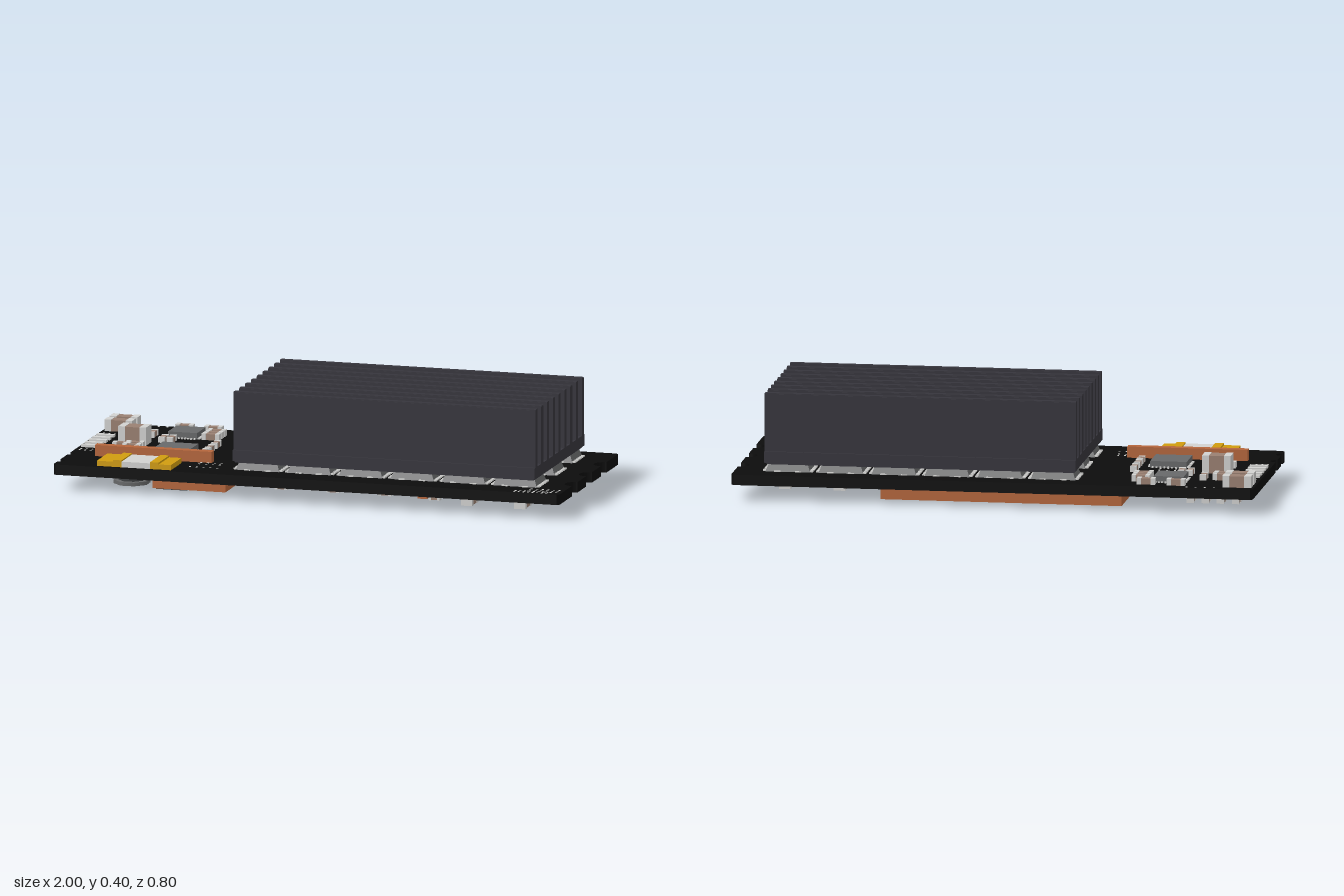
import * as THREE from 'three';
import { mergeGeometries } from 'three/addons/utils/BufferGeometryUtils.js';

const TOP = 0.102, BOTTOM = 0.062;

function makeMaterial(name, color, extra = {}) {
  const m = new THREE.MeshStandardMaterial({ color, ...extra });
  m.name = name;
  return m;
}

// Box given by its limits
function box(x0, x1, y0, y1, z0, z1) {
  return new THREE.BoxGeometry(x1 - x0, y1 - y0, z1 - z0)
    .translate((x0 + x1) / 2, (y0 + y1) / 2, (z0 + z1) / 2);
}

// Box whose top is narrower than its foot
function taperedBox(x, z, w, d, y0, y1, inset) {
  const g = new THREE.BoxGeometry(w, y1 - y0, d);
  const p = g.attributes.position;
  for (let i = 0; i < p.count; i++) {
    if (p.getY(i) < 0) continue;
    p.setX(i, p.getX(i) - Math.sign(p.getX(i)) * inset);
    p.setZ(i, p.getZ(i) - Math.sign(p.getZ(i)) * inset);
  }
  g.translate(x, (y0 + y1) / 2, z);
  g.computeVertexNormals();
  return g;
}

export function createModel() {
  const model = new THREE.Group();
  model.name = 'circuitBoardWithHeatSink';
  const mat = {
    board: makeMaterial('board black', 0x0c0c0c),
    sink: makeMaterial('heat sink grey', 0x36353c),
    chip: makeMaterial('chip grey', 0x68696a),
    dark: makeMaterial('dark package', 0x3e4042),
    silver: makeMaterial('solder silver', 0xd2d2d0),
    tan: makeMaterial('ceramic tan', 0x9a8072),
    copper: makeMaterial('copper', 0xb5663c),
    gold: makeMaterial('terminal gold', 0xd09c10),
  };
  const add = (name, geos, m, parent = model) => {
    const mesh = new THREE.Mesh(Array.isArray(geos) ? mergeGeometries(geos) : geos, m);
    mesh.name = name;
    parent.add(mesh);
    return mesh;
  };

  // Board outline with half-round edge notches; shape y becomes -z
  const s = new THREE.Shape();
  s.moveTo(-0.99, -0.4);
  s.lineTo(0.99, -0.4);
  s.lineTo(1, -0.39);
  for (const z of [0.19, 0, -0.195]) {
    s.lineTo(1, -z - 0.038);
    s.absarc(1, -z, 0.038, -Math.PI / 2, Math.PI / 2, true);
  }
  s.lineTo(1, 0.39);
  s.lineTo(0.99, 0.4);
  s.lineTo(-0.99, 0.4);
  s.lineTo(-1, 0.39);
  for (const z of [0.19, 0.325]) {
    s.lineTo(-1, -z + 0.022);
    s.absarc(-1, -z, 0.022, Math.PI / 2, -Math.PI / 2, true);
  }
  s.lineTo(-1, -0.39);
  const slab = new THREE.ExtrudeGeometry(s, { depth: TOP - BOTTOM, bevelEnabled: false, curveSegments: 10 });
  add('board', slab.rotateX(-Math.PI / 2).translate(0, BOTTOM, 0), mat.board);

  // Heat sink: base plate, lower lip and nine fins
  const sink = new THREE.Group();
  sink.name = 'heatSink';
  model.add(sink);
  add('heatSinkBase', [box(-0.312, 0.882, 0.14, 0.183, -0.34, 0.325), box(-0.305, 0.875, 0.133, 0.14, -0.33, 0.315)], mat.sink, sink);
  for (let i = 0; i < 9; i++) {
    const z = 0.302 - i * 0.0773;
    add('fin', [box(-0.312, 0.882, 0.183, 0.404, z - 0.014, z + 0.014), box(-0.312, 0.882, 0.404, 0.407, z - 0.011, z + 0.011)], mat.sink, sink);
  }

  // Eighteen leaded chips under the heat sink
  const bodies = [], leads = [];
  for (let i = 0; i < 6; i++) for (const z of [0.229, -0.007, -0.246]) {
    const x = -0.222 + i * 0.2035;
    bodies.push(taperedBox(x, z, 0.172, 0.138, TOP, 0.134, 0.012));
    for (let k = 0; k < 8; k++) for (const side of [-1, 1]) {
      const lx = x + side * 0.088, lz = z - 0.06 + k * 0.0171;
      leads.push(box(lx - 0.008, lx + 0.008, TOP, 0.108, lz - 0.004, lz + 0.004));
    }
    for (const dx of [-0.04, 0.04]) for (const side of [-1, 1])
      leads.push(box(x + dx - 0.012, x + dx + 0.012, TOP, 0.106, z + side * 0.07 - 0.004, z + side * 0.07 + 0.004));
  }
  add('processorChips', bodies, mat.chip);
  add('processorLeads', leads, mat.silver);

  // Ceramic capacitors: tan body, silver end caps; below = hangs under the board
  const ceramic = [], caps = [];
  function capacitor(x, z, len, wid, h, alongZ = false, below = false) {
    const [y0, y1] = below ? [BOTTOM - h, BOTTOM] : [TOP, TOP + h];
    const e = len * 0.24, a = len / 2, b = wid / 2, i = 0.0015;
    const put = (list, p, q, w, dy) => {
      const [ya, yb] = below ? [y0 + dy, y1] : [y0, y1 - dy];
      list.push(alongZ ? box(x - w, x + w, ya, yb, z + p, z + q) : box(x + p, x + q, ya, yb, z - w, z + w));
    };
    put(ceramic, -a + e, a - e, b - i, i);
    put(caps, -a, -a + e, b, 0);
    put(caps, a - e, a, b, 0);
  }
  // Upper side
  capacitor(-0.935, -0.345, 0.11, 0.05, 0.045);
  capacitor(-0.935, -0.275, 0.11, 0.05, 0.045);
  capacitor(-0.815, -0.065, 0.11, 0.07, 0.07);
  for (const [x, z] of [[-0.855, -0.215], [-0.855, -0.18], [-0.7, -0.35], [-0.585, -0.345], [-0.555, -0.285],
    [-0.555, -0.247], [-0.555, -0.21], [-0.79, 0.012], [-0.79, 0.055], [-0.79, 0.1], [-0.835, 0.035]])
    capacitor(x, z, 0.07, 0.03, 0.025);
  for (const [x, z] of [[-0.72, -0.13], [-0.688, -0.13], [-0.498, -0.08], [-0.498, 0.003], [-0.498, 0.08], [-0.785, -0.21]])
    capacitor(x, z, 0.06, 0.025, 0.022, true);
  // Under side: large ones, grid, row beside the busbar and corner cluster
  for (const x of [0.82, 0.61]) for (const z of [0.275, 0.05, -0.19]) capacitor(x, z, 0.085, 0.045, 0.042, true, true);
  for (const x of [0.29, 0.085, -0.12]) for (const z of [0.32, 0.11, -0.11]) capacitor(x, z, 0.05, 0.022, 0.02, false, true);
  for (const z of [0.3, 0.09, -0.12]) capacitor(0.48, z, 0.045, 0.025, 0.03, false, true);
  for (let i = 0; i < 8; i++) capacitor(0.26 - i * 0.075, -0.24, 0.06, 0.028, 0.025, true, true);
  for (let i = 0; i < 4; i++) for (let j = 0; j < 3; j++)
    capacitor(-0.93 + i * 0.058, -0.34 + j * 0.065, 0.052, 0.028, 0.024, true, true);
  for (const [x, z] of [[-0.62, 0.06], [-0.68, 0.05], [-0.74, 0.04], [-0.8, 0.04], [-0.68, -0.03], [-0.75, -0.04], [-0.6, -0.05]])
    capacitor(x, z, 0.055, 0.025, 0.022, true, true);
  add('capacitorBodies', ceramic, mat.tan);
  add('capacitorEnds', caps, mat.silver);

  // Row of edge contacts
  const contacts = [];
  for (let i = 0; i < 5; i++) {
    const z = -0.15 + i * 0.05;
    contacts.push(box(-0.99, -0.92, TOP, 0.112, z - 0.011, z + 0.011));
  }
  add('edgeContacts', contacts, mat.silver);

  // Two square controller chips with pins on four sides
  for (const [x, z, w, n] of [[-0.665, -0.253, 0.115, 9], [-0.617, 0.06, 0.14, 9]]) {
    add('controllerChip', box(x - w / 2, x + w / 2, TOP, 0.127, z - w / 2, z + w / 2), mat.chip);
    const pins = [], r = w / 2 + 0.004;
    for (let k = 0; k < n; k++) for (const side of [-1, 1]) {
      const t = (k / (n - 1) - 0.5) * w * 0.85;
      pins.push(box(x + t - 0.003, x + t + 0.003, TOP, 0.107, z + side * r - 0.006, z + side * r + 0.006));
      pins.push(box(x + side * r - 0.006, x + side * r + 0.006, TOP, 0.107, z + t - 0.003, z + t + 0.003));
    }
    add('controllerPins', pins, mat.silver);
  }

  // Shunt resistor with golden terminals
  add('shuntBody', box(-0.735, -0.622, TOP, 0.124, 0.24, 0.38), mat.silver);
  for (const [a, b, ridge] of [[-0.833, -0.735, -0.752], [-0.622, -0.54, -0.605]])
    add('shuntTerminal', [box(a, b, TOP, 0.122, 0.24, 0.38), box(ridge - 0.017, ridge + 0.017, 0.122, 0.129, 0.24, 0.38)], mat.gold);

  // Copper busbars: one above, two bent ones below
  add('upperBusbar', box(-0.892, -0.43, TOP, 0.145, 0.174, 0.207), mat.copper);
  const bar = (x0, x1, z0, z1) => box(x0, x1, 0.02, BOTTOM - 0.002, z0, z1);
  add('longBusbar', [bar(0.393, 0.43, -0.34, 0.24), bar(-0.495, 0.43, -0.378, -0.34), bar(-0.495, -0.458, -0.34, 0.22)], mat.copper);
  add('shortBusbar', [bar(-0.375, -0.337, -0.26, 0.302), bar(-0.625, -0.337, 0.302, 0.338)], mat.copper);

  // Power parts below: dark block and octagonal inductor
  add('powerBlock', box(-0.632, -0.51, 0.003, BOTTOM, 0.18, 0.27), mat.dark);
  const octagon = (r, y0, y1) => new THREE.CylinderGeometry(r, r, y1 - y0, 8, 1).rotateY(Math.PI / 8)
    .toNonIndexed().translate(-0.747, (y0 + y1) / 2, 0.2);
  const flanges = [octagon(0.07, 0.006, 0.02), octagon(0.07, 0.045, BOTTOM)];
  add('inductorFlanges', flanges, mat.chip);
  add('inductorCore', octagon(0.052, 0.02, 0.045), mat.dark);

  // Small plated holes
  const vias = [];
  const viaGrid = (x, z, nx, nz, step) => {
    for (let i = 0; i < nx; i++) for (let j = 0; j < nz; j++) {
      const vx = x + i * step, vz = z + j * step;
      vias.push(box(vx - 0.0035, vx + 0.0035, TOP, 0.1035, vz - 0.0035, vz + 0.0035));
    }
  };
  viaGrid(0.87, 0.325, 6, 3, 0.022);
  viaGrid(0.82, 0.37, 8, 2, 0.018);
  viaGrid(-0.98, -0.21, 3, 2, 0.022);
  viaGrid(-0.98, 0.09, 3, 2, 0.022);
  viaGrid(-0.47, 0.21, 4, 2, 0.027);
  viaGrid(-0.49, 0.295, 5, 1, 0.027);
  viaGrid(-0.68, -0.06, 4, 2, 0.03);
  viaGrid(-0.85, -0.385, 4, 1, 0.035);
  add('platedHoles', vias, mat.silver);

  return model;
}
